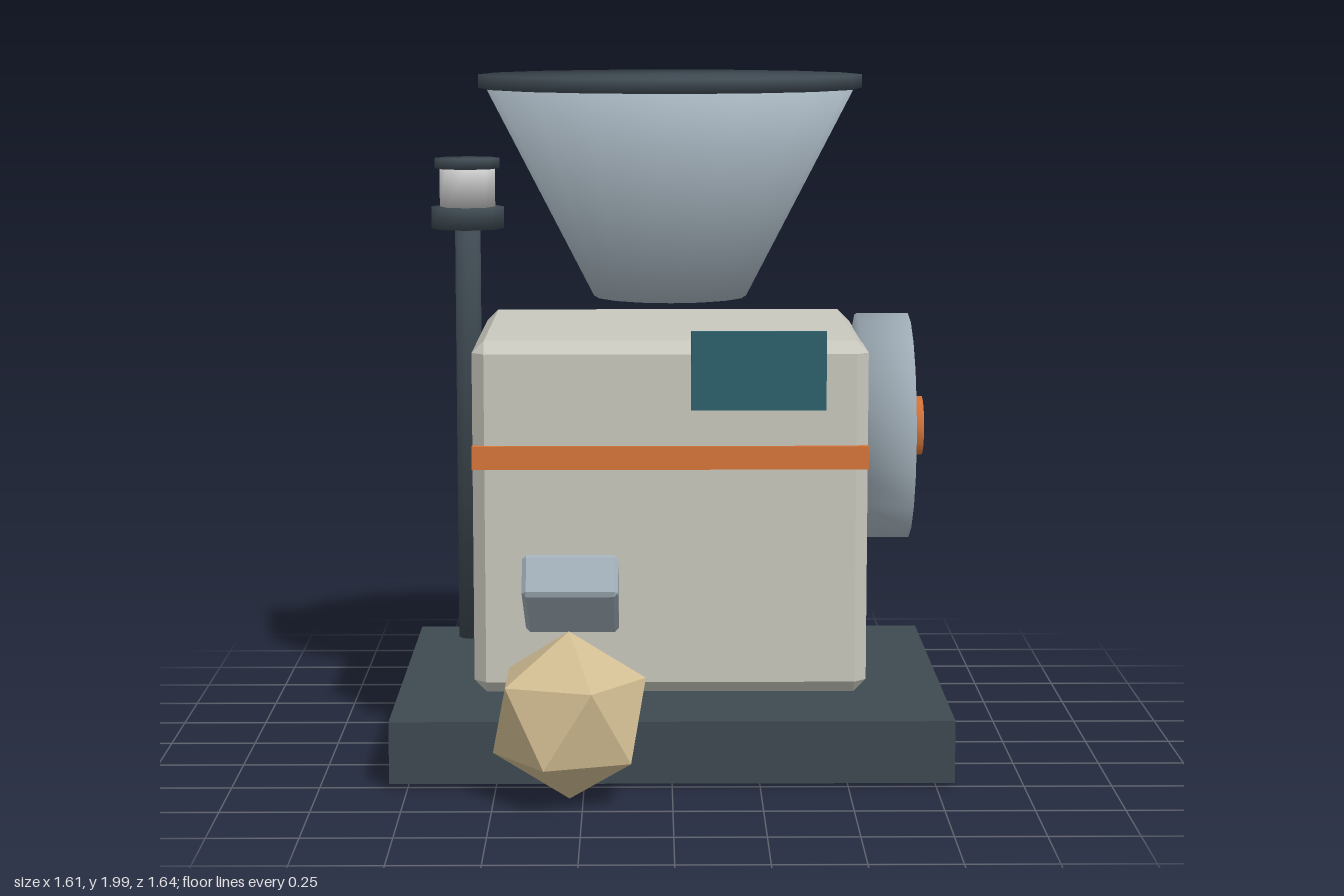
import * as THREE from 'three';
import { ConvexGeometry } from 'three/addons/geometries/ConvexGeometry.js';

const COLORS = {
  dark: 0x3e4951, steel: 0xa3b1bb, cream: 0xc8c8be, orange: 0xd6763a,
  teal: 0x2d616d, tan: 0xd2bd92, white: 0xe8e8e8,
};

const material = (color, flatShading = false) =>
  new THREE.MeshStandardMaterial({ color: COLORS[color], flatShading });

function addMesh(parent, name, geometry, mat, x, y, z) {
  const mesh = new THREE.Mesh(geometry, mat);
  mesh.name = name;
  mesh.position.set(x, y, z);
  parent.add(mesh);
  return mesh;
}

// Cylinder whose normals blend softly over the cap edges.
function softCylinder(top, bottom, height, sides) {
  const geo = new THREE.CylinderGeometry(top, bottom, height, sides);
  const { position: p, normal: n } = geo.attributes;
  const v = new THREE.Vector3();
  for (let i = 0; i < p.count; i++) {
    v.set(p.getX(i), 0, p.getZ(i)).normalize();
    v.y = Math.sign(p.getY(i));
    v.normalize();
    n.setXYZ(i, v.x, v.y, v.z);
  }
  return geo;
}

// Box with a single flat chamfer on every edge.
function chamferBox(w, h, d, c) {
  const points = [];
  for (const x of [-w / 2, w / 2])
    for (const y of [-h / 2, h / 2])
      for (const z of [-d / 2, d / 2]) {
        const sx = Math.sign(x) * c, sy = Math.sign(y) * c, sz = Math.sign(z) * c;
        points.push(
          new THREE.Vector3(x, y - sy, z - sz),
          new THREE.Vector3(x - sx, y, z - sz),
          new THREE.Vector3(x - sx, y - sy, z));
      }
  return new ConvexGeometry(points);
}

export function createModel() {
  const model = new THREE.Group();
  model.name = 'hopperMachine';

  // Base slab and chamfered housing
  addMesh(model, 'base', new THREE.BoxGeometry(1.605, 0.18, 1.265),
    material('dark', true), 0, 0.11, -0.125);
  addMesh(model, 'housing', chamferBox(1.148, 1.037, 0.92, 0.036),
    material('cream', true), -0.003, 0.729, -0.24);

  // Front trim
  addMesh(model, 'frontStripe', new THREE.BoxGeometry(1.148, 0.068, 0.024),
    material('orange', true), -0.003, 0.911, 0.22);
  addMesh(model, 'frontPanel', new THREE.BoxGeometry(0.39, 0.228, 0.024),
    material('teal', true), 0.252, 1.164, 0.22);

  // Funnel with a closed rim
  const hopper = new THREE.Group();
  hopper.name = 'hopper';
  hopper.position.set(0, 0, -0.239);
  model.add(hopper);
  addMesh(hopper, 'funnel', softCylinder(0.56, 0.23, 0.64, 16),
    material('steel'), 0, 1.655, 0);
  addMesh(hopper, 'funnelRim', softCylinder(0.575, 0.575, 0.04, 16),
    material('dark'), 0, 1.98, 0);

  // Side wheel and hub
  const wheel = new THREE.Group();
  wheel.name = 'sideWheel';
  wheel.position.set(0, 0.937, -0.24);
  model.add(wheel);
  addMesh(wheel, 'wheelDisc', softCylinder(0.344, 0.344, 0.155, 20),
    material('steel'), 0.643, 0, 0).rotation.z = -Math.PI / 2;
  addMesh(wheel, 'wheelHub', softCylinder(0.09, 0.09, 0.1, 12),
    material('orange'), 0.716, 0, 0).rotation.z = -Math.PI / 2;

  // Lamp post: name, radius, bottom, top, colour
  const lampPost = new THREE.Group();
  lampPost.name = 'lampPost';
  lampPost.position.set(-0.633, 0, -0.612);
  model.add(lampPost);
  for (const [name, r, y0, y1, color] of [
    ['post', 0.04, 0.2, 1.52, 'dark'],
    ['lampCollar', 0.114, 1.51, 1.578, 'dark'],
    ['lamp', 0.087, 1.578, 1.7, 'white'],
    ['lampCap', 0.102, 1.698, 1.73, 'dark'],
  ]) {
    addMesh(lampPost, name, softCylinder(r, r, y1 - y0, 8),
      material(color), 0, (y0 + y1) / 2, 0);
  }

  // Tilted chute: its outer end rises away from the housing
  const tilt = 0.52, length = 0.4;
  addMesh(model, 'chute', chamferBox(0.272, 0.126, length, 0.012), material('steel', true),
    -0.288, 0.619 - Math.sin(tilt) * length / 2, 0.482 - Math.cos(tilt) * length / 2)
    .rotation.x = -tilt;

  // Faceted chunk, turned to stand on a corner
  addMesh(model, 'chunk', new THREE.IcosahedronGeometry(0.239, 0),
    material('tan', true), -0.288, 0.247, 0.618)
    .rotation.z = -Math.atan(2 / (1 + Math.sqrt(5)));

  return model;
}
